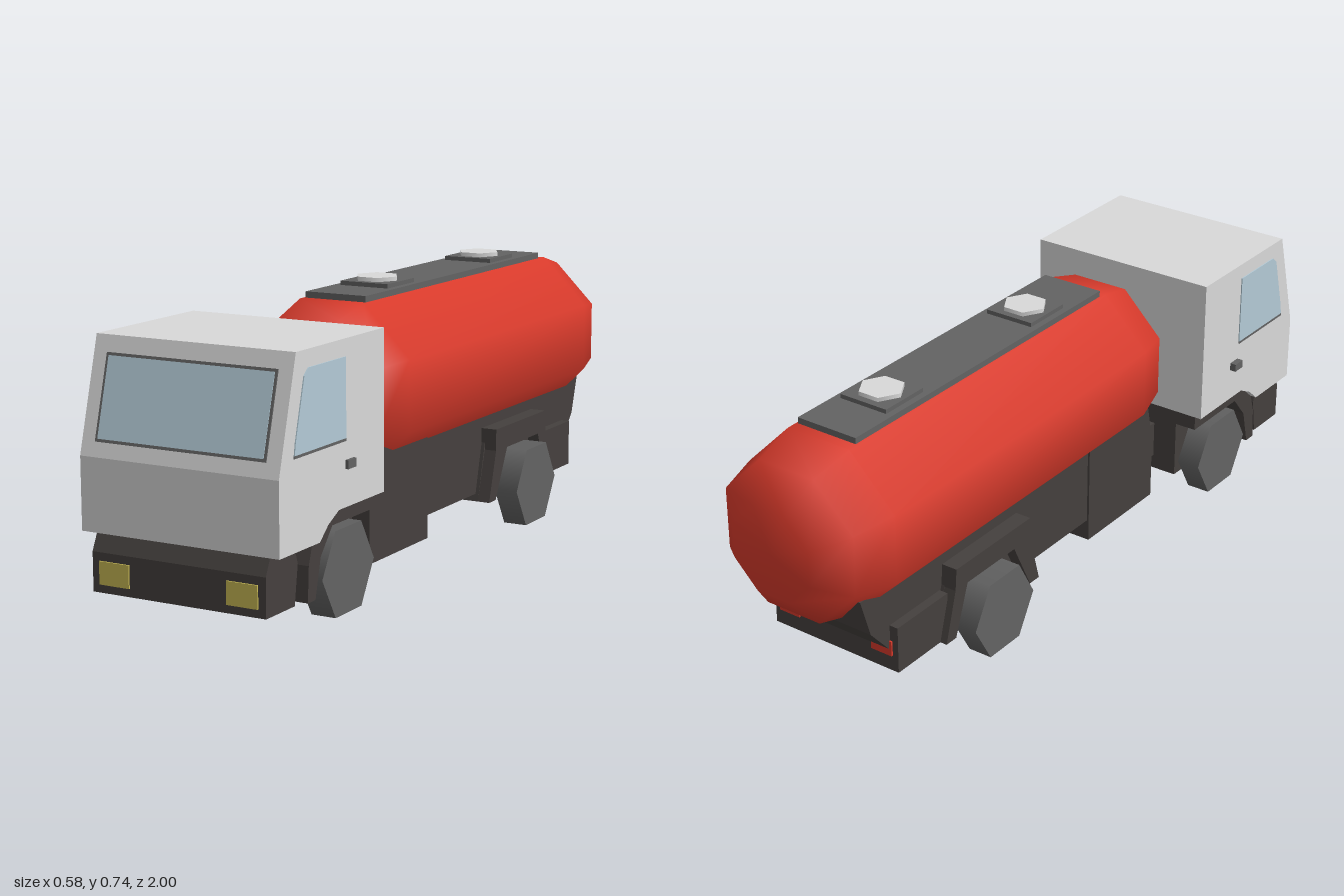
import * as THREE from 'three';

const mat = (name, color, side = THREE.FrontSide) => {
  const m = new THREE.MeshStandardMaterial({ color, side });
  m.name = name;
  return m;
};

export function createModel() {
  const truck = new THREE.Group();
  truck.name = 'tankerTruck';

  const white = mat('cabWhite', 0xd9d9d9);
  const red = mat('tankRed', 0xd83a2b);
  const dark = mat('chassisDark', 0x45403e);
  const grey = mat('rubberGrey', 0x636363);
  const glass = mat('windowGlass', 0xb3cad6);
  const yellow = mat('headlightYellow', 0xc9ba55);

  const add = (name, geometry, material, x = 0, y = 0, z = 0) => {
    const mesh = new THREE.Mesh(geometry, material);
    mesh.name = name;
    mesh.position.set(x, y, z);
    truck.add(mesh);
    return mesh;
  };
  const box = (name, material, w, h, d, x, y, z) =>
    add(name, new THREE.BoxGeometry(w, h, d), material, x, y, z);

  // Side profile given as [z, y] points, extruded across x
  const slab = (name, material, points, width, x = 0) => {
    const shape = new THREE.Shape(points.map(([z, y]) => new THREE.Vector2(z, y)));
    const geometry = new THREE.ExtrudeGeometry(shape, { depth: width, bevelEnabled: false });
    geometry.translate(0, 0, -width / 2).rotateY(-Math.PI / 2);
    return add(name, geometry, material, x);
  };

  // Cab with raked windscreen and raised rear lower edge over the wheels
  const cabX = 0.005;
  slab('cab', white, [
    [0.5, 0.275], [0.72, 0.275], [0.77, 0.25], [0.81, 0.215],
    [0.99, 0.215], [0.99, 0.4], [0.912, 0.685], [0.5, 0.685],
  ], 0.558, cabX);

  // Windscreen and its dark border
  const rake = Math.atan(0.078 / 0.285);
  const slopeZ = (y) => 0.99 - Math.tan(rake) * (y - 0.4);
  const pane = (name, material, w, h, t) => {
    const p = box(name, material, w, h / Math.cos(rake), t, cabX, 0.54, slopeZ(0.54));
    p.rotation.x = -rake;
  };
  pane('windscreenFrame', grey, 0.48, 0.208, 0.006);
  pane('windscreen', glass, 0.466, 0.194, 0.009);

  // Side windows and door handles
  for (const s of [-1, 1]) {
    const x = cabX + s * 0.279;
    slab('sideWindow', glass, [
      [0.69, 0.445], [0.925, 0.445], [0.92, 0.475], [0.88, 0.625], [0.86, 0.642], [0.69, 0.642],
    ], 0.006, x);
    slab('sideWindowSill', grey, [[0.69, 0.438], [0.927, 0.438], [0.925, 0.445], [0.69, 0.445]], 0.006, x);
    box('doorHandle', grey, 0.024, 0.022, 0.038, s * 0.28, 0.38, 0.67);
  }

  // Front bumper with headlights
  slab('frontBumper', dark, [
    [0.87, 0.07], [0.996, 0.07], [0.996, 0.17], [0.975, 0.215], [0.87, 0.215], [0.855, 0.17],
  ], 0.49, cabX);
  for (const s of [-1, 1]) {
    box('headlight', yellow, 0.086, 0.058, 0.008, cabX + s * 0.181, 0.12, 0.996);
  }

  // Floor and wheel arches below the cab
  slab('cabFloor', dark, [[0.5, 0.07], [0.83, 0.07], [0.8, 0.22], [0.76, 0.275], [0.5, 0.275]], 0.385);
  slab('frontWheelArch', dark, [
    [0.835, 0.07], [0.83, 0.16], [0.81, 0.22], [0.76, 0.276], [0.5, 0.28], [0.5, 0.235],
    [0.72, 0.235], [0.775, 0.17], [0.8, 0.07],
  ], 0.52, cabX);

  // Tank: eight-sided body with stepped rounded ends
  const profile = [
    [0, -1], [0.118, -1], [0.2, -0.93], [0.23, -0.81],
    [0.23, 0.27], [0.2, 0.385], [0.118, 0.465], [0, 0.465],
  ].map(([r, z]) => new THREE.Vector2(r / Math.cos(Math.PI / 8), z));
  const tank = new THREE.LatheGeometry(profile, 8);
  tank.rotateY(Math.PI / 8).rotateX(Math.PI / 2);
  add('tank', tank, red, 0, 0.47, 0);

  // Walkway with two hatches
  box('walkway', grey, 0.18, 0.025, 1.03, 0, 0.704, -0.265);
  for (const z of [-0.57, 0.03]) {
    box('hatchBase', grey, 0.144, 0.016, 0.144, 0, 0.72, z);
    const cap = new THREE.CylinderGeometry(0.06, 0.06, 0.012, 6);
    cap.rotateY(Math.PI / 2);
    add('hatchCap', cap, white, 0, 0.733, z);
  }

  // Chassis, tank cradle and side lockers
  box('chassisBeam', dark, 0.24, 0.105, 1.0, 0, 0.163, 0.1);
  slab('tankCradle', dark, [
    [0.36, 0.11], [-0.6, 0.11], [-0.78, 0.15], [-0.85, 0.23], [-0.885, 0.34], [0.365, 0.34],
  ], 0.35);
  slab('sideLocker', dark, [[0.08, 0.05], [0.393, 0.05], [0.393, 0.23], [0.365, 0.35], [0.08, 0.35]], 0.362);

  // Rear wheel arches
  slab('rearWheelArch', dark, [
    [-0.61, 0.09], [-0.57, 0.09], [-0.52, 0.23], [-0.32, 0.23], [-0.25, 0.09], [-0.21, 0.09],
    [-0.25, 0.23], [-0.25, 0.29], [-0.565, 0.29], [-0.57, 0.23],
  ], 0.44);
  slab('rearAxleBody', dark, [[-0.61, 0.09], [-0.21, 0.09], [-0.25, 0.25], [-0.565, 0.25]], 0.37);

  // Rear bumper with tail lights
  box('rearBumper', dark, 0.4, 0.13, 0.2, 0, 0.155, -0.678);
  for (const s of [-1, 1]) {
    box('tailLight', red, 0.065, 0.042, 0.008, s * 0.15, 0.155, -0.779);
  }

  // Six-sided wheels
  const wheel = new THREE.CylinderGeometry(0.125, 0.125, 0.068, 6);
  wheel.rotateZ(Math.PI / 2);
  for (const z of [0.64, -0.42]) {
    for (const s of [-1, 1]) {
      add(z > 0 ? 'frontWheel' : 'rearWheel', wheel, grey, s * 0.229, 0.108, z);
    }
  }

  return truck;
}
